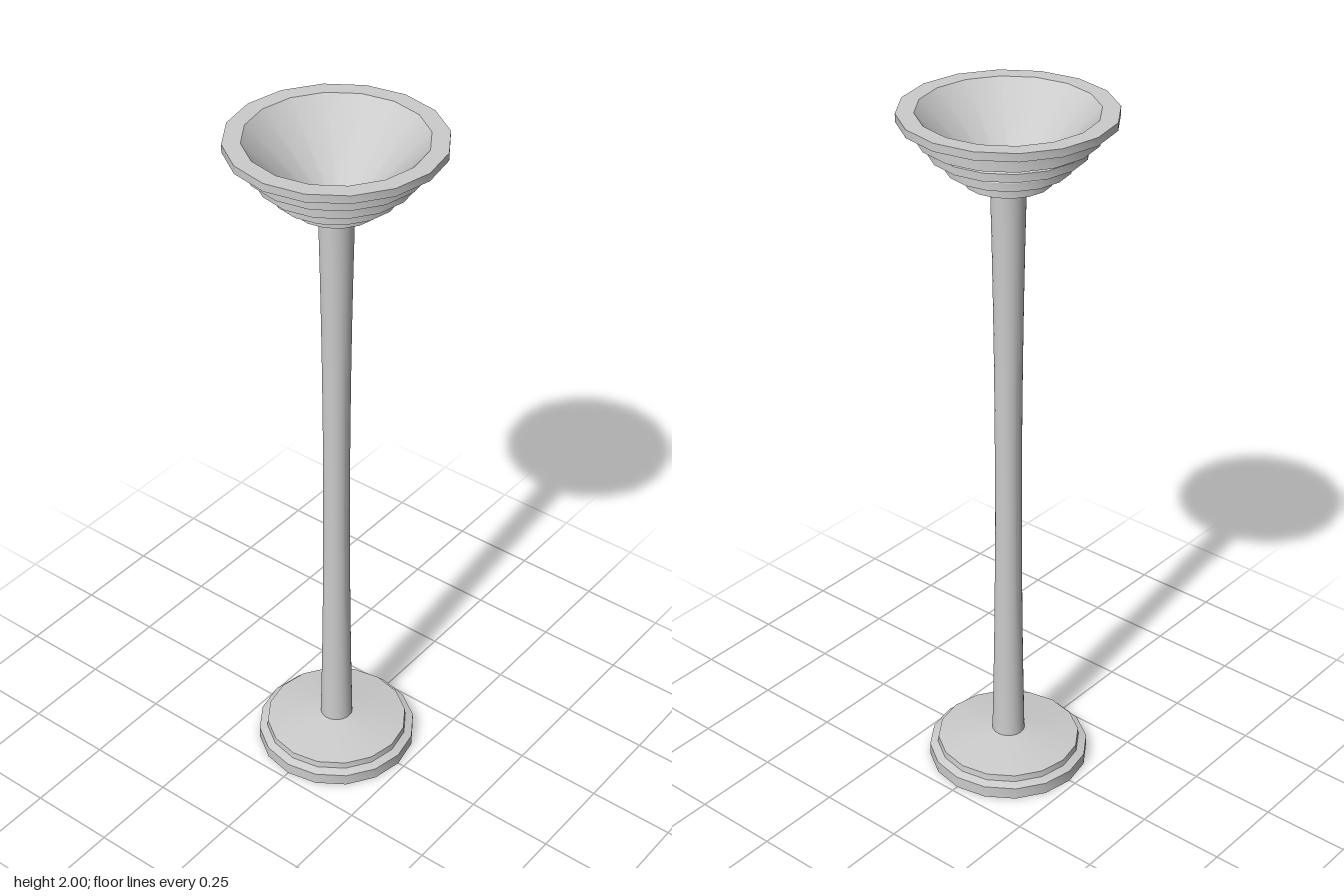
import * as THREE from 'three';
import { toCreasedNormals } from 'three/addons/utils/BufferGeometryUtils.js';

const material = new THREE.MeshStandardMaterial({ color: 0xcccccc, side: THREE.DoubleSide });

// Revolved part from [radius, height] pairs, listed bottom to top on the outside
function turned(name, profile, sides) {
  const points = profile.map(([r, y]) => new THREE.Vector2(r, y));
  const geometry = toCreasedNormals(new THREE.LatheGeometry(points, sides), 0.5);
  const mesh = new THREE.Mesh(geometry, material);
  mesh.name = name;
  return mesh;
}

export function createModel() {
  const group = new THREE.Group();
  group.name = 'floorLamp';

  // Stepped foot, a thin shell open underneath
  group.add(turned('base', [
    [0.23, 0], [0.23, 0.035], [0.207, 0.043], [0.205, 0.062], [0.046, 0.085],
  ], 16));

  // Slender pole, narrowest at mid height, closed at both ends
  const bottom = 0.08, top = 1.795, steps = 10;
  const pole = [[0, bottom]];
  for (let i = 0; i <= steps; i++) {
    const t = i / steps;
    pole.push([0.037 + 0.01 * (2 * t - 1) ** 2, bottom + (top - bottom) * t]);
  }
  pole.push([0, top]);
  group.add(turned('pole', pole, 24));

  // Bowl shade: stepped tiers outside, flat rim, plain cone inside
  const tiers = [ // radius, lower edge, upper edge
    [0.115, 1.81, 1.832],
    [0.165, 1.85, 1.872],
    [0.207, 1.892, 1.914],
    [0.238, 1.932, 1.962],
    [0.283, 1.978, 2],
  ];
  const shade = [[0.046, 1.79]];
  let inner = 0.046;
  for (const [r, low, high] of tiers) {
    if (inner > 0.05) shade.push([inner, low - 0.014]);
    shade.push([r, low], [r, high]);
    inner = r - 0.004;
  }
  shade.push([0.236, 2], [0.046, 1.795]);
  group.add(turned('shade', shade, 16));

  return group;
}
